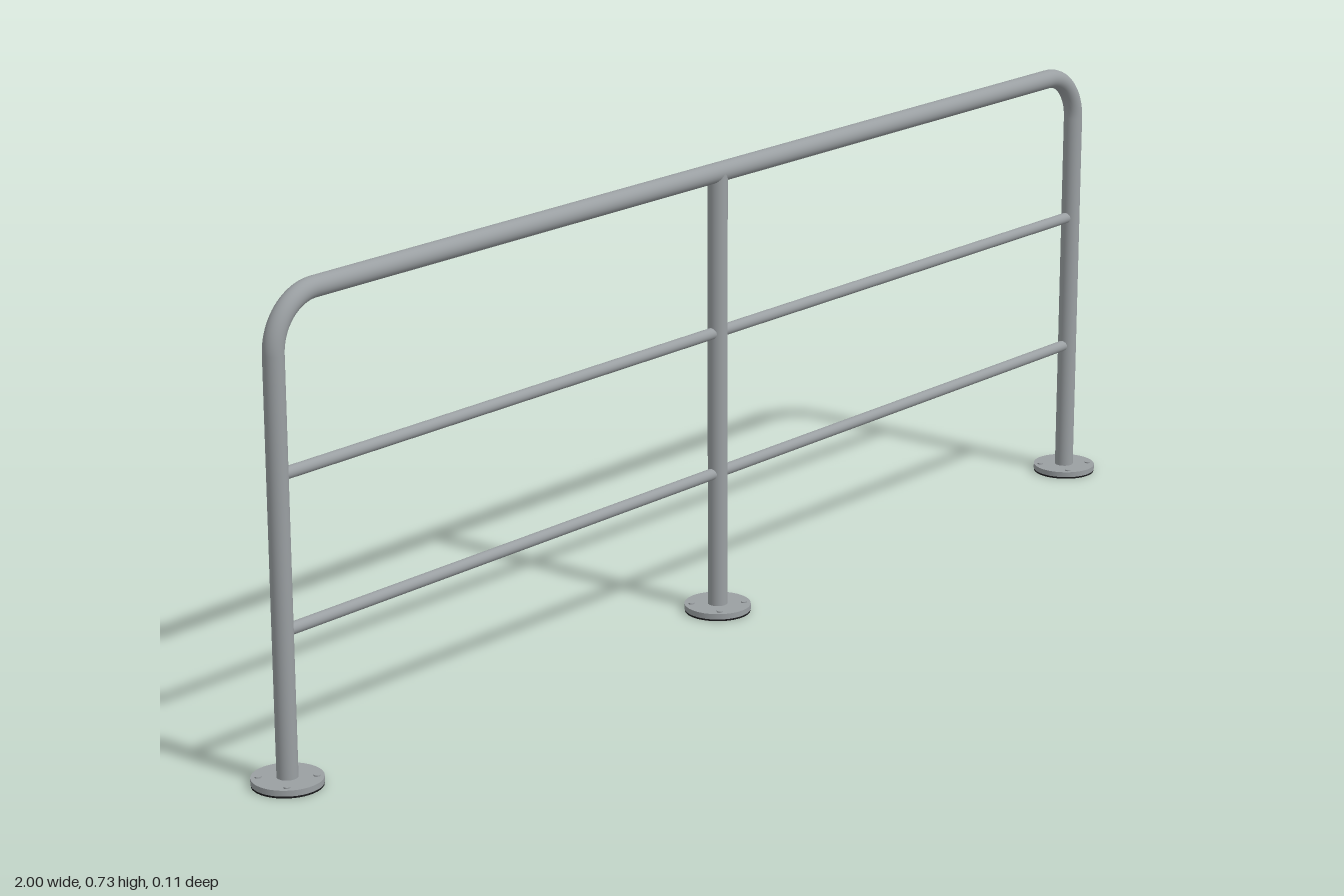
import * as THREE from 'three';

const steel = new THREE.MeshStandardMaterial({ color: 0x9a9fa2 });
steel.name = 'galvanised steel';
const rubber = new THREE.MeshStandardMaterial({ color: 0x1c1c1e });
rubber.name = 'black rubber';

const POST_X = 0.947;   // outer post centres
const TUBE = 0.0157;    // main tube radius
const RAIL = 0.0092;    // thin rail radius
const TOP = 0.719;      // top rail centre height
const BEND = 0.08;      // corner bend radius
const PLATE_TOP = 0.012;

export function createModel() {
  const model = new THREE.Group();
  model.name = 'guardRailing';

  const add = (parent, name, geometry, material, x, y, z = 0) => {
    const mesh = new THREE.Mesh(geometry, material);
    mesh.name = name;
    mesh.position.set(x, y, z);
    parent.add(mesh);
    return mesh;
  };
  const upright = (name, x, y0, y1) =>
    add(model, name, new THREE.CylinderGeometry(TUBE, TUBE, y1 - y0, 32, 1, true), steel, x, (y0 + y1) / 2);
  const horizontal = (name, radius, length, y) => {
    const geometry = new THREE.CylinderGeometry(radius, radius, length, 32, 1, true).rotateZ(Math.PI / 2);
    return add(model, name, geometry, steel, 0, y);
  };

  // Hoop: two posts, two bent corners and the top rail
  for (const side of [-1, 1]) {
    const label = side > 0 ? 'left' : 'right';
    upright(label + 'Post', side * POST_X, 0.004, TOP - BEND);
    const corner = new THREE.TorusGeometry(BEND, TUBE, 32, 20, Math.PI / 2);
    if (side < 0) corner.rotateZ(Math.PI / 2);
    add(model, label + 'Corner', corner, steel, side * (POST_X - BEND), TOP - BEND);
  }
  horizontal('topRail', TUBE, 2 * (POST_X - BEND), TOP);
  upright('centrePost', 0, 0.004, TOP);

  // Thin rails running through the centre post
  horizontal('middleRail', RAIL, 2 * POST_X, 0.4625);
  horizontal('lowerRail', RAIL, 2 * POST_X, 0.2315);

  // Round foot plates with a rubber pad and four bolts each
  for (const x of [-POST_X, 0, POST_X]) {
    const foot = new THREE.Group();
    foot.name = 'foot';
    foot.position.x = x;
    model.add(foot);
    add(foot, 'rubberPad', new THREE.CylinderGeometry(0.0525, 0.0525, 0.003, 40), rubber, 0, 0.0015);
    add(foot, 'footPlate', new THREE.CylinderGeometry(0.053, 0.053, PLATE_TOP - 0.003, 40), steel,
      0, (PLATE_TOP + 0.003) / 2);
    for (let i = 0; i < 4; i++) {
      const a = Math.PI / 4 + i * Math.PI / 2;
      add(foot, 'bolt', new THREE.CylinderGeometry(0.005, 0.005, 0.004, 12), steel,
        Math.cos(a) * 0.042, PLATE_TOP, Math.sin(a) * 0.042);
    }
  }
  return model;
}
